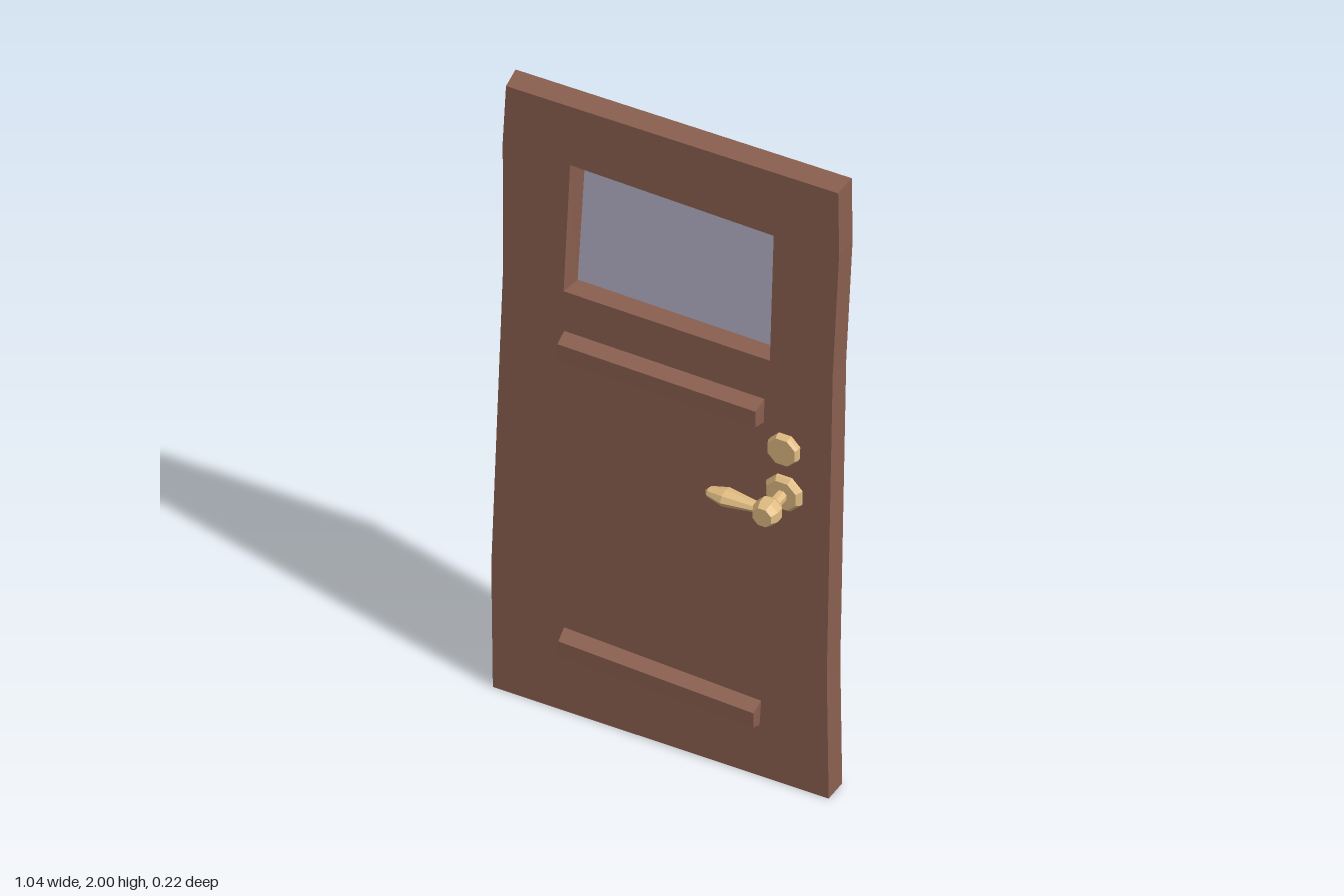
import * as THREE from 'three';

const paint = (name, color) => new THREE.MeshStandardMaterial({ name, color });

// Flat-faced geometry from a list of triangles of points
function facets(triangles) {
  const g = new THREE.BufferGeometry();
  g.setAttribute('position', new THREE.Float32BufferAttribute(triangles.flat(2), 3));
  g.computeVertexNormals();
  return g;
}

// Strip joining two rings, facing outward for counter-clockwise rings (front, back)
const band = (a, b) => a.flatMap((p, i) => {
  const j = (i + 1) % a.length;
  return [[p, b[i], b[j]], [p, b[j], a[j]]];
});

// Filled ring, optionally with a hole, facing +z
function cap(ring, hole) {
  const flat = r => r.map(p => new THREE.Vector2(p[0], p[1]));
  const points = hole ? [...ring, ...hole] : ring;
  return THREE.ShapeUtils.triangulateShape(flat(ring), hole ? [flat(hole)] : [])
    .map(t => t.map(i => points[i]));
}
const flip = triangles => triangles.map(t => [t[0], t[2], t[1]]);

// The whole door leans slightly backwards
const lean = (outline, z) => outline.map(([x, y]) => [x, y, z - 0.02 * y]);

// Faceted turned part, its axis along +z
function turned(profile, sides = 8) {
  const g = new THREE.LatheGeometry(profile.map(p => new THREE.Vector2(...p)), sides);
  g.rotateY(Math.PI / sides).rotateX(Math.PI / 2);
  const flat = g.toNonIndexed();
  flat.computeVertexNormals();
  return flat;
}

export function createModel() {
  const model = new THREE.Group();
  model.name = 'door';
  const wood = paint('brownWood', 0x8b6050);
  const glass = paint('paleGlass', 0xb8b5ca);
  const brass = paint('brass', 0xe0bb82);

  const add = (name, geometry, material, x = 0, y = 0, z = 0) => {
    const mesh = new THREE.Mesh(geometry, material);
    mesh.name = name;
    mesh.position.set(x, y, z);
    model.add(mesh);
  };

  // Warped leaf with a shallow window recess in the front
  const outline = [
    [-0.503, 0], [0.508, 0], [0.498, 0.4], [0.505, 1.4], [0.52, 1.8],
    [0.515, 2], [-0.485, 1.99], [-0.493, 1.8], [-0.487, 1.4], [-0.512, 0.4],
  ];
  const front = lean(outline, 0);
  const back = lean(outline.map(([x, y]) => [x < 0 ? x - 0.012 : x, y]), -0.075);
  const opening = lean([[-0.305, 1.378], [0.316, 1.375], [0.323, 1.79], [-0.29, 1.8]], 0);
  const paneRing = lean([[-0.283, 1.4], [0.3, 1.395], [0.307, 1.776], [-0.266, 1.778]], -0.037);
  add('leaf', facets([
    ...cap(front, opening),
    ...band(front, back),
    ...flip(cap(back)),
    ...flip(band(opening, paneRing)),
  ]), wood);
  add('windowPane', facets(cap(paneRing)), glass);

  // Two bevelled rails across the front
  const rail = (name, faceRing, faceZ, baseRing) => {
    const a = faceRing.map(([x, y]) => [x, y, faceZ]);
    const b = lean(baseRing, -0.005);
    add(name, facets([...cap(a), ...band(a, b)]), wood);
  };
  rail('upperRail',
    [[-0.298, 1.182], [0.298, 1.178], [0.298, 1.23], [-0.298, 1.236]], 0.02,
    [[-0.302, 1.168], [0.3, 1.164], [0.302, 1.245], [-0.302, 1.25]]);
  rail('lowerRail',
    [[-0.287, 0.207], [0.3, 0.184], [0.3, 0.232], [-0.287, 0.256]], 0.035,
    [[-0.292, 0.194], [0.298, 0.164], [0.302, 0.25], [-0.292, 0.276]]);

  // Lock and handle fittings
  add('lockDisc', turned([[0.049, -0.03], [0.049, -0.01], [0.044, 0], [0, 0]]),
    brass, 0.365, 1.105);
  add('handlePlate', turned([[0.059, -0.03], [0.057, -0.012], [0.047, 0], [0, 0]]),
    brass, 0.365, 0.96);
  add('handleShaft', turned([[0.018, -0.005], [0.018, 0.052]]), brass, 0.365, 0.96);
  add('handleKnob', turned([
    [0, 0.045], [0.027, 0.045], [0.04, 0.063], [0.04, 0.087], [0.03, 0.108], [0, 0.108],
  ]), brass, 0.365, 0.96);

  // Swelling lever pointing sideways from the knob
  const lever = new THREE.LatheGeometry([
    [0.016, 0], [0.032, 0.105], [0.018, 0.155], [0, 0.167],
  ].map(p => new THREE.Vector2(...p)), 8)
    .rotateZ(Math.PI / 2).scale(1, 0.75, 1).toNonIndexed();
  lever.computeVertexNormals();
  add('handleLever', lever, brass, 0.345, 0.963, 0.077);

  return model;
}
